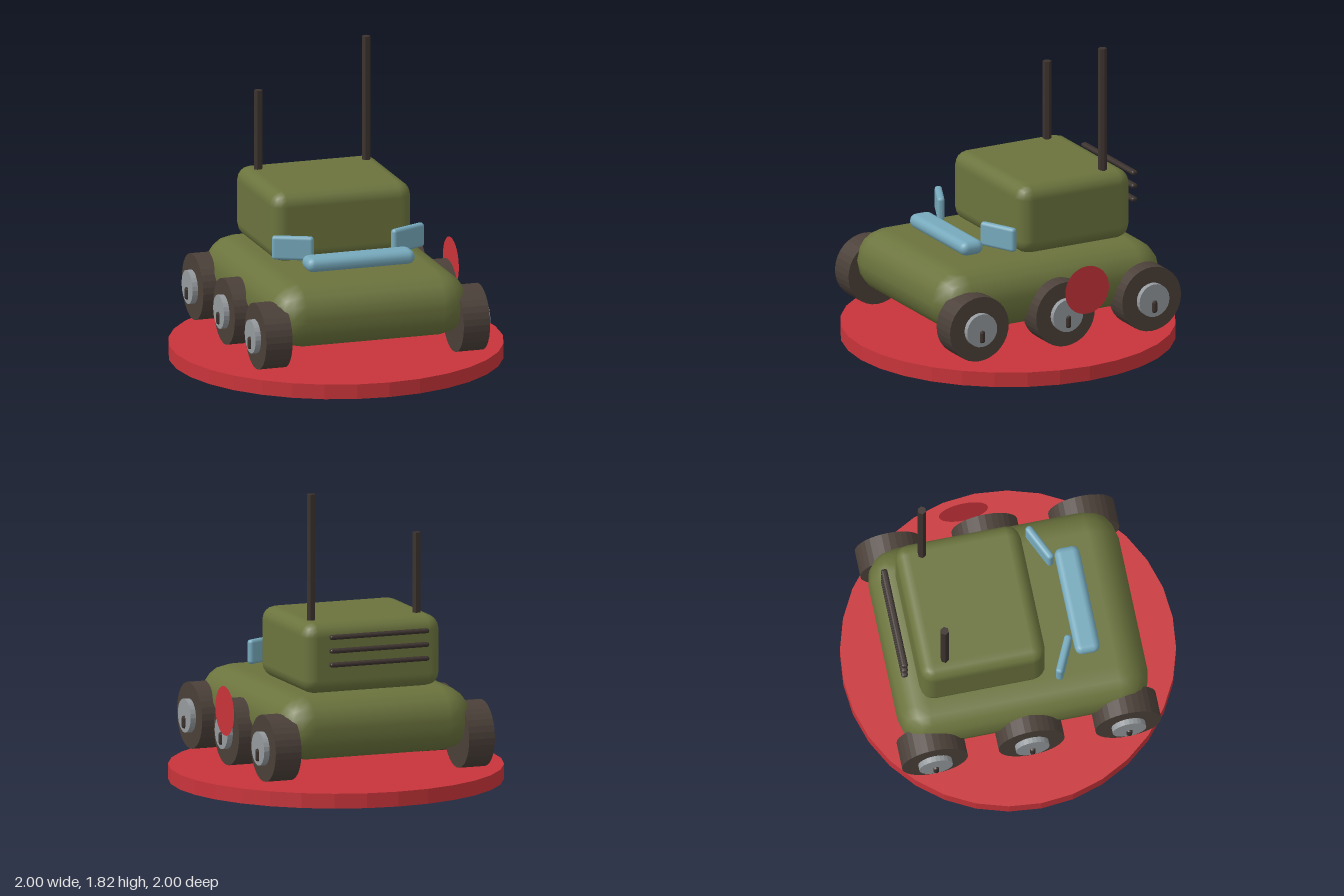
import * as THREE from 'three';
import { RoundedBoxGeometry } from 'three/addons/geometries/RoundedBoxGeometry.js';

const material = (name, color, options = {}) =>
  Object.assign(new THREE.MeshStandardMaterial({ color, ...options }), { name });

export function createModel() {
  const model = new THREE.Group();
  model.name = 'rover';

  const olive = material('olive', 0x6b733d);
  const red = material('red', 0xc8343a, { flatShading: true, side: THREE.DoubleSide });
  const blue = material('pale blue', 0x76a9bc);
  const tyreBrown = material('tyre brown', 0x4b4039, { flatShading: true });
  const darkBrown = material('dark brown', 0x3b322e, { flatShading: true });
  const grey = material('hub grey', 0x959a9e, { flatShading: true });

  const add = (name, geometry, mat, x, y, z, parent = model) => {
    const mesh = new THREE.Mesh(geometry, mat);
    mesh.name = name;
    mesh.position.set(x, y, z);
    parent.add(mesh);
    return mesh;
  };
  const box = (w, h, d, r, segments = 2) => new RoundedBoxGeometry(w, h, d, segments, r);

  // Round base plate
  add('base', new THREE.CylinderGeometry(1, 1, 0.09, 32), red, 0, 0.045, 0);

  // Hull and cab
  add('hull', box(1.24, 0.39, 1.52, 0.19), olive, 0, 0.435, 0);
  add('cab', box(0.88, 0.43, 0.76, 0.085), olive, 0, 0.845, -0.23);

  // Light bar and angled front panels
  add('lightBar', box(0.68, 0.088, 0.152, 0.043), blue, 0, 0.699, 0.42);
  for (const side of [-1, 1]) {
    const panel = add('frontPanel', box(0.25, 0.148, 0.045, 0.02), blue, side * 0.36, 0.76, 0.265);
    panel.rotation.y = side * 0.436;
  }

  // Antennas of unequal height
  for (const [x, top] of [[0.342, 1.82], [-0.335, 1.545]]) {
    const height = top - 1.0;
    const antenna = add('antenna', new THREE.CylinderGeometry(0.026, 0.026, height, 6),
      darkBrown, x, 1.0 + height / 2, -0.453);
    antenna.rotation.y = Math.PI / 6;
  }

  // Vent bars behind the cab
  for (const y of [0.823, 0.907, 0.99]) {
    add('ventBar', box(0.634, 0.028, 0.04, 0.0135), darkBrown, 0, y, -0.69);
  }

  // Six wheels, each with a hub and a small peg
  const tyre = new THREE.CylinderGeometry(0.2, 0.2, 0.165, 32).rotateZ(Math.PI / 2);
  const hub = new THREE.CylinderGeometry(0.102, 0.102, 0.06, 24).rotateZ(Math.PI / 2);
  const peg = box(0.04, 0.078, 0.034, 0.014, 1);
  for (const side of [-1, 1]) {
    for (const z of [-0.587, 0, 0.587]) {
      const wheel = new THREE.Group();
      wheel.name = 'wheel';
      wheel.position.set(side * 0.62, 0.33, z);
      model.add(wheel);
      add('tyre', tyre, tyreBrown, 0, 0, 0, wheel);
      add('hub', hub, grey, side * 0.087, 0, 0, wheel);
      add('peg', peg, darkBrown, side * 0.112, -0.038, 0, wheel);
    }
  }

  // Flat round marker on the left side
  add('sideMarker', new THREE.CircleGeometry(0.149, 32).rotateY(Math.PI / 2), red, 0.76, 0.48, -0.115);

  return model;
}
